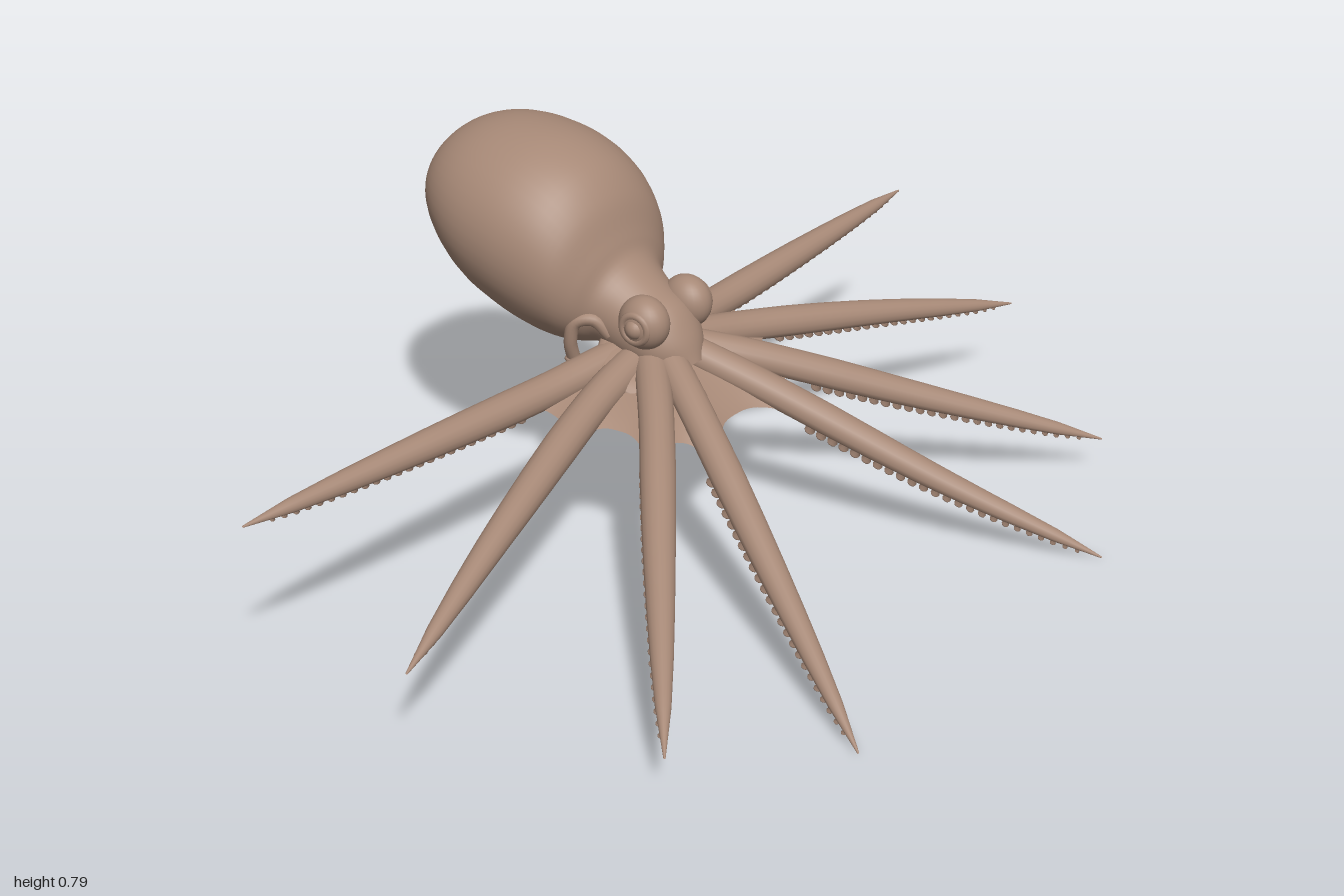
import * as THREE from 'three';
import { mergeGeometries } from 'three/addons/utils/BufferGeometryUtils.js';

const V = (x, y, z) => new THREE.Vector3(x, y, z);
const UP = V(0, 0.88, 0.47).normalize(); // upper side of the sloping arm crown

// Skin over rows of points; closed rows wrap round
function skin(rows, closed) {
  const n = rows[0].length, pos = [], idx = [];
  rows.forEach(r => r.forEach(p => pos.push(p.x, p.y, p.z)));
  for (let i = 0; i < rows.length - 1; i++)
    for (let j = 0; j < (closed ? n : n - 1); j++) {
      const k = (j + 1) % n, a = i * n + j, b = i * n + k;
      idx.push(a, b, a + n, b, b + n, a + n);
    }
  const g = new THREE.BufferGeometry();
  g.setAttribute('position', new THREE.Float32BufferAttribute(pos, 3));
  g.setIndex(idx);
  g.computeVertexNormals();
  return g;
}

// Head and mantle: top z, top y, bottom z, bottom y, half width
const BODY = [
  [-0.03, 0.385, -0.06, 0.345, 0.03], [-0.05, 0.44, -0.13, 0.345, 0.075],
  [-0.085, 0.49, -0.17, 0.35, 0.09], [-0.14, 0.52, -0.21, 0.36, 0.095],
  [-0.2, 0.565, -0.235, 0.375, 0.11], [-0.22, 0.61, -0.265, 0.372, 0.145],
  [-0.25, 0.685, -0.3, 0.366, 0.18], [-0.3, 0.742, -0.36, 0.37, 0.205],
  [-0.38, 0.78, -0.43, 0.39, 0.22], [-0.48, 0.795, -0.51, 0.425, 0.218],
  [-0.56, 0.79, -0.58, 0.475, 0.195], [-0.62, 0.768, -0.64, 0.535, 0.155],
  [-0.665, 0.725, -0.677, 0.595, 0.095], [-0.692, 0.66, -0.692, 0.655, 0.004],
];
function bodyGeometry() {
  const top = new THREE.CatmullRomCurve3(BODY.map(s => V(s[4], s[1], s[0])));
  const low = new THREE.CatmullRomCurve3(BODY.map(s => V(0, s[3], s[2])));
  const rows = [];
  for (let i = 0; i <= 64; i++) {
    const a = top.getPoint(i / 64), b = low.getPoint(i / 64), w = a.x;
    a.x = 0;
    const mid = a.clone().add(b).multiplyScalar(0.5), half = a.clone().sub(mid);
    rows.push(Array.from({ length: 48 }, (_, j) => {
      const t = j / 48 * Math.PI * 2;
      return mid.clone().addScaledVector(half, Math.cos(t)).add(V(w * Math.sin(t), 0, 0));
    }));
  }
  return skin(rows, true);
}

// Left arm paths, front to back
const ARMS = [
  [[0.03, 0.385, -0.08], [0.1, 0.318, 0.06], [0.265, 0.145, 0.39], [0.422, 0.004, 0.687]],
  [[0.05, 0.385, -0.11], [0.17, 0.338, 0.005], [0.42, 0.222, 0.225], [0.73, 0.083, 0.5]],
  [[0.05, 0.385, -0.14], [0.22, 0.353, -0.112], [0.58, 0.288, -0.005], [0.957, 0.21, 0.117]],
  [[0.05, 0.385, -0.175], [0.25, 0.368, -0.2], [0.6, 0.374, -0.218], [0.998, 0.386, -0.236]],
];
const armCurve = (pts, side) =>
  new THREE.CatmullRomCurve3(pts.map(p => V(p[0] * side, p[1], p[2])));

const RADII = [0.036, 0.037, 0.036, 0.036, 0.034, 0.031, 0.027, 0.022, 0.015, 0.002];
function radiusAt(t) {
  const f = Math.min(t * 9, 8.999), i = Math.floor(f);
  return THREE.MathUtils.lerp(RADII[i], RADII[i + 1], f - i);
}
function frameAt(curve, t) {
  const p = curve.getPointAt(t), tan = curve.getTangentAt(t);
  const side = tan.clone().cross(UP).normalize();
  return { p, tan, side, up: side.clone().cross(tan), r: radiusAt(t) };
}

// Tapered arm, flatter on the underside
function armGeometry(curve) {
  const rows = [];
  for (let i = 0; i <= 36; i++) {
    const { p, side, up, r } = frameAt(curve, i / 36);
    rows.push(Array.from({ length: 18 }, (_, j) => {
      const a = j / 18 * Math.PI * 2, c = Math.cos(a);
      return p.clone().addScaledVector(up, r * c * (c < 0 ? 0.6 : 0.95))
        .addScaledVector(side, r * Math.sin(a));
    }));
  }
  return skin(rows, true);
}

// Two rows of cupped suckers under an arm
function suckerGeometry(curve) {
  const cup = new THREE.LatheGeometry(
    [[0.7, -0.6], [0.75, 0.5], [1, 0.8], [0.9, 1.1], [0.5, 1.05], [0, 0.5]]
      .map(q => new THREE.Vector2(q[0], q[1])), 10);
  const list = [];
  for (let i = 0; i < 24; i++)
    for (const s of [-1, 1]) {
      const t = 0.3 + 0.66 * (i + (s > 0 ? 0.5 : 0)) / 24;
      const { p, tan, side, up, r } = frameAt(curve, t);
      const size = 0.003 + r * 0.24;
      const m = new THREE.Matrix4().makeBasis(
        side.clone().multiplyScalar(size),
        up.clone().multiplyScalar(-size),
        tan.clone().multiplyScalar(-size).negate().multiplyScalar(-1));
      // keep the basis right-handed
      if (m.determinant() < 0) m.scale(V(-1, 1, 1));
      m.setPosition(p.addScaledVector(side, s * r * 0.46).addScaledVector(up, -r * 0.53));
      list.push(cup.clone().applyMatrix4(m));
    }
  return mergeGeometries(list);
}

// Webbing between two arms, scalloped at its outer edge
function webGeometry(c1, c2, reach, end, layer) {
  const rows = [];
  for (let i = 0; i <= 14; i++) {
    const row = [];
    for (let j = 0; j <= 16; j++) {
      const u = j / 16, v = i / 14;
      const t = v * (reach + (end - reach) * Math.pow(Math.abs(2 * u - 1), 3));
      const p = c1.getPointAt(t).lerp(c2.getPointAt(t), u);
      const off = -0.006 - 0.006 * Math.sin(Math.PI * u) + layer * 0.012 * (1 - v ** 4);
      row.push(p.addScaledVector(UP, off));
    }
    rows.push(row);
  }
  return skin(rows, false);
}

export function createModel() {
  const model = new THREE.Group();
  model.name = 'octopus';
  const hide = new THREE.MeshStandardMaterial({ color: 0xa68876, side: THREE.DoubleSide });
  hide.name = 'brownSkin';
  const add = (name, geometry) => {
    const mesh = new THREE.Mesh(geometry, hide);
    mesh.name = name;
    model.add(mesh);
    return mesh;
  };

  add('headAndMantle', bodyGeometry());

  for (const s of [1, -1]) {
    const tag = s > 0 ? 'left' : 'right';

    // Bulging eye with a raised lid and eyeball
    const lobe = add(tag + 'EyeLobe', new THREE.SphereGeometry(1, 28, 20));
    lobe.scale.set(0.046, 0.056, 0.056);
    lobe.position.set(0.066, 0.473, -0.113);
    const lid = add(tag + 'Eyelid', new THREE.TorusGeometry(0.028, 0.009, 10, 28));
    lid.rotation.y = Math.PI / 2 - 0.15;
    lid.position.set(0.1, 0.472, -0.108);
    const ball = add(tag + 'Eyeball', new THREE.SphereGeometry(0.022, 20, 14));
    ball.position.set(0.098, 0.472, -0.108);

    // Funnel curling round the mantle opening
    const funnel = new THREE.CatmullRomCurve3([V(0.085, 0.43, -0.19), V(0.105, 0.462, -0.215),
      V(0.125, 0.455, -0.245), V(0.128, 0.41, -0.258), V(0.115, 0.365, -0.262)]);
    const tube = add(tag + 'Funnel', new THREE.TubeGeometry(funnel, 24, 0.014, 12));
    const mouth = add(tag + 'FunnelLip', new THREE.TorusGeometry(0.014, 0.005, 8, 18));
    mouth.rotation.x = Math.PI / 2;
    mouth.position.set(0.115, 0.365, -0.262);
    for (const m of [lobe, lid, ball, mouth]) {
      m.position.x *= s;
      m.rotation.y *= s;
    }
    tube.scale.x = s;

    // Arms and the webs joining neighbours
    const curves = ARMS.map(p => armCurve(p, s));
    curves.forEach((c, i) => {
      add(tag + 'Arm' + (i + 1), armGeometry(c));
      add(tag + 'Suckers' + (i + 1), suckerGeometry(c));
    });
    [0.23, 0.23, 0.26].forEach((reach, i) => {
      for (const layer of [1, -1])
        add(tag + 'Web' + (i + 1), webGeometry(curves[i], curves[i + 1], reach, 0.34, layer));
    });
  }

  // Front web and the underside behind the mouth
  const left = ARMS.map(p => armCurve(p, 1)), right = ARMS.map(p => armCurve(p, -1));
  for (const layer of [1, -1])
    add('frontWeb', webGeometry(left[0], right[0], 0.2, 0.31, layer));
  const belly = add('crownUnderside', new THREE.SphereGeometry(1, 32, 16));
  belly.scale.set(0.16, 0.03, 0.13);
  belly.rotation.x = 0.42;
  belly.position.set(0, 0.368, -0.115);
  return model;
}
